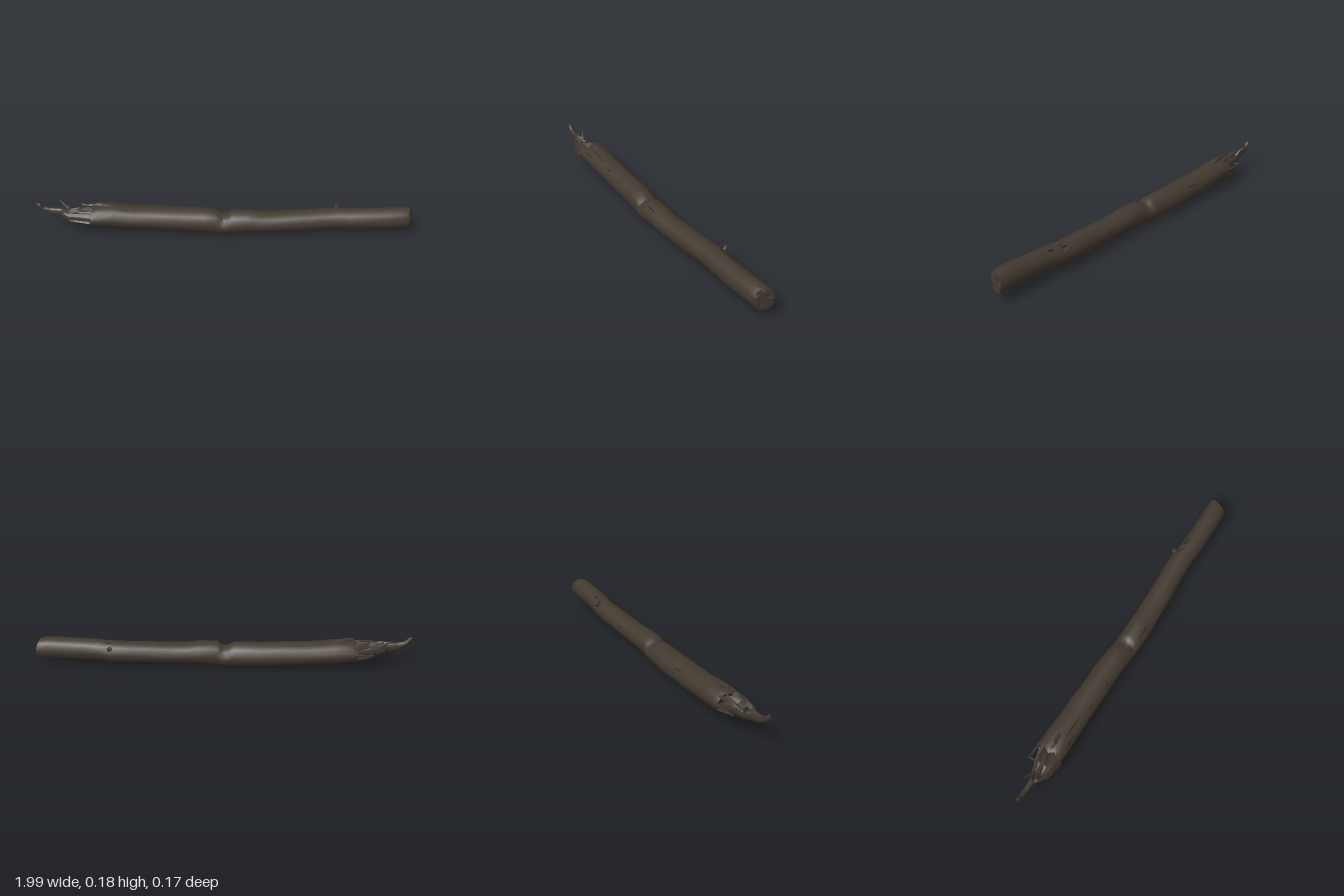
import * as THREE from 'three';

const SIDES = 16;

// Trunk stations: x, bottom y, top y, back z, front z
const TRUNK = [
  [-0.71, 0.05, 0.148, -0.08, 0.063], [-0.68, 0.045, 0.157, -0.086, 0.066], [-0.6, 0.035, 0.16, -0.085, 0.065],
  [-0.5, 0.028, 0.147, -0.08, 0.065], [-0.4, 0.021, 0.144, -0.08, 0.064], [-0.3, 0.014, 0.142, -0.075, 0.065],
  [-0.2, 0.01, 0.138, -0.075, 0.065], [-0.12, 0.007, 0.138, -0.067, 0.068], [-0.06, 0.004, 0.135, -0.06, 0.072],
  [-0.035, 0.002, 0.118, -0.057, 0.073], [-0.015, 0, 0.112, -0.056, 0.074], [0.01, 0.004, 0.118, -0.054, 0.076],
  [0.03, 0.007, 0.136, -0.052, 0.078], [0.13, 0.013, 0.134, -0.05, 0.081], [0.18, 0.015, 0.125, -0.05, 0.079],
  [0.3, 0.016, 0.126, -0.052, 0.074], [0.4, 0.018, 0.131, -0.053, 0.07], [0.5, 0.022, 0.135, -0.057, 0.063],
  [0.6, 0.026, 0.14, -0.058, 0.062], [0.66, 0.028, 0.143, -0.046, 0.067], [0.74, 0.03, 0.147, -0.042, 0.07],
  [0.85, 0.034, 0.151, -0.04, 0.071], [0.93, 0.037, 0.155, -0.04, 0.071], [0.975, 0.041, 0.15, -0.037, 0.066],
];

// Broken heartwood tongue, same columns
const TONGUE = [
  [-1, 0.15, 0.18, -0.008, 0.006], [-0.983, 0.14, 0.174, -0.014, 0.01], [-0.965, 0.122, 0.155, -0.015, 0.01],
  [-0.93, 0.103, 0.147, -0.016, 0.012], [-0.88, 0.088, 0.147, -0.018, 0.016], [-0.86, 0.08, 0.15, -0.031, 0.032],
  [-0.83, 0.071, 0.142, -0.037, 0.046], [-0.78, 0.062, 0.15, -0.045, 0.056], [-0.72, 0.051, 0.148, -0.057, 0.062],
  [-0.62, 0.042, 0.14, -0.06, 0.058],
];

// Point on a station's outline; angle 0 faces front, PI/2 faces up
function outline([x, bottom, top, back, front], a, grow = 1) {
  const cy = Math.min(bottom + 0.062, (bottom + top) / 2);
  const s = Math.sin(a);
  const rough = grow * (1 + 0.018 * Math.sin(5 * a + 9 * x) * Math.sin(2 * a) ** 2);
  return [x, cy + s * (s > 0 ? top - cy : cy - bottom) * rough,
    (front + back) / 2 + Math.cos(a) * (front - back) / 2 * rough];
}

function stationAt(x) {
  const i = Math.max(1, TRUNK.findIndex((s) => s[0] >= x));
  const p = TRUNK[i - 1], q = TRUNK[i], t = (x - p[0]) / (q[0] - p[0]);
  return p.map((v, k) => v + (q[k] - v) * t);
}

function geometry(points, index, flat) {
  let g = new THREE.BufferGeometry();
  g.setAttribute('position', new THREE.Float32BufferAttribute(points.flat(), 3));
  g.setIndex(index);
  if (flat) g = g.toNonIndexed();
  g.computeVertexNormals();
  return g;
}

// Skin through closed rings running towards +x
function loft(rings, flat) {
  const index = [], n = rings[0].length;
  for (let i = 0; i < rings.length - 1; i++) {
    for (let j = 0; j < n; j++) {
      const k = (j + 1) % n, a = i * n, b = a + n;
      index.push(a + j, b + j, b + k, a + j, b + k, a + k);
    }
  }
  return geometry(rings.flat(), index, flat);
}

// Faceted end face with an inner ring; dir is +1 or -1 along x
function cap(ring, dir, bulge) {
  const n = ring.length, index = [];
  const mid = [0, 1, 2].map((k) => ring.reduce((sum, p) => sum + p[k], 0) / n);
  const inner = ring.map((p, j) => {
    const f = 0.72 + 0.1 * Math.sin(j * 2.3);
    return [mid[0] + (p[0] - mid[0]) * 0.6 + dir * bulge * (0.7 + 0.5 * Math.sin(j * 1.7)),
      mid[1] + (p[1] - mid[1]) * f, mid[2] + (p[2] - mid[2]) * f];
  });
  const add = (a, b, c) => (dir > 0 ? index.push(a, c, b) : index.push(a, b, c));
  for (let j = 0; j < n; j++) {
    const k = (j + 1) % n;
    add(n + j, j, k);
    add(n + j, k, n + k);
    add(2 * n, n + j, n + k);
  }
  return geometry([...ring, ...inner, [mid[0] + dir * bulge * 0.5, mid[1], mid[2]]], index, true);
}

// Tapered sliver between two points
function splinter(from, to, r0, r1) {
  const a = new THREE.Vector3(...from), b = new THREE.Vector3(...to), d = b.clone().sub(a);
  const g = new THREE.CylinderGeometry(r1, r0, d.length(), 5).toNonIndexed();
  g.applyQuaternion(new THREE.Quaternion().setFromUnitVectors(new THREE.Vector3(0, 1, 0), d.normalize()));
  const c = a.add(b).multiplyScalar(0.5);
  g.translate(c.x, c.y, c.z);
  g.computeVertexNormals();
  return g;
}

// Thin crack lying on the bark
function crack(x, a, length, width) {
  const pts = [], index = [];
  for (let i = 0; i <= 4; i++) {
    const s = stationAt(x + length * (i / 4 - 0.5));
    const w = width * (0.2 + Math.sin(Math.PI * i / 4));
    pts.push(outline(s, a - w, 1.025), outline(s, a + w, 1.025));
    if (i < 4) index.push(2 * i, 2 * i + 2, 2 * i + 3, 2 * i, 2 * i + 3, 2 * i + 1);
  }
  return geometry(pts, index, true);
}

export function createModel() {
  const group = new THREE.Group();
  const material = (name, color) => Object.assign(new THREE.MeshStandardMaterial({ color }), { name });
  const bark = material('bark', 0x42392f);
  const wood = material('brokenWood', 0x3f3730);
  const dark = material('darkCrack', 0x25221f);
  const add = (name, geo, mat) => {
    const mesh = new THREE.Mesh(geo, mat);
    mesh.name = name;
    group.add(mesh);
  };
  const ringOf = (s) => Array.from({ length: SIDES }, (_, j) => outline(s, j / SIDES * Math.PI * 2));

  // Trunk with a jagged left break and a slanted right cut
  const rings = TRUNK.map(ringOf);
  const first = rings[0], last = rings[rings.length - 1];
  first.forEach((p, j) => { p[0] += 0.013 * Math.sin(j * 2.6) - 0.15 * Math.max(0, p[2]); });
  last.forEach((p) => { p[0] = 0.977 - 0.28 * (p[2] - 0.015) - 0.12 * (p[1] - 0.095); });
  add('trunk', loft(rings), bark);
  add('cutEnd', cap(last, 1, 0.006), wood);
  add('brokenEnd', cap(first, -1, -0.012), dark);

  // Split tongue rising to a point
  const tongue = TONGUE.map(ringOf);
  tongue.forEach((ring, i) => ring.forEach((p, j) => {
    if (i > 4 && j > 2 && j < 7) p[1] -= 0.014 * (1 + Math.sin(j * 2.9 + i * 1.9));
  }));
  add('splitTongue', loft(tongue, true), wood);
  add('tongueTip', cap(tongue[0], -1, 0), wood);

  // Splinters around the break
  [
    [[-0.84, 0.13, -0.02], [-0.87, 0.158, -0.028], 0.011, 0.005],
    [[-0.865, 0.155, -0.027], [-0.885, 0.172, -0.036], 0.006, 0.002],
    [[-0.68, 0.105, -0.079], [-0.79, 0.115, -0.084], 0.009, 0.003],
    [[-0.785, 0.115, -0.084], [-0.78, 0.108, -0.035], 0.004, 0.006],
    [[-0.69, 0.13, -0.05], [-0.765, 0.135, -0.045], 0.014, 0.003],
    [[-0.7, 0.13, 0.03], [-0.8, 0.142, 0.028], 0.013, 0.003],
    [[-0.7, 0.08, -0.065], [-0.8, 0.085, -0.047], 0.014, 0.003],
    [[-0.72, 0.09, 0.056], [-0.83, 0.1, 0.05], 0.014, 0.003],
  ].forEach((s) => add('splinter', splinter(...s), wood));

  // Raised bark flap above the break
  add('barkFlap', splinter([-0.6, 0.148, -0.012], [-0.665, 0.162, -0.008], 0.012, 0.014), bark);
  add('barkFlapTip', splinter([-0.66, 0.163, -0.008], [-0.695, 0.166, -0.005], 0.013, 0.006), bark);

  // Branch stub
  add('branchStub', splinter([0.6, 0.11, -0.035], [0.59, 0.132, -0.062], 0.018, 0.007), bark);

  // Bark cracks: x, angle, length, half width
  [
    [0.6, 2.2, 0.04, 0.1], [0.67, 2.1, 0.04, 0.09], [0.61, 1.9, 0.03, 0.05], [0.1, 0.9, 0.1, 0.05],
    [-0.26, 0.7, 0.02, 0.06], [-0.4, 0.85, 0.06, 0.03], [-0.55, 1.1, 0.14, 0.04], [-0.62, 0.6, 0.08, 0.05],
    [-0.02, 0.9, 0.012, 0.3], [-0.35, 2.5, 0.06, 0.04], [0.3, 2.8, 0.05, 0.04],
  ].forEach((c) => add('barkCrack', crack(...c), dark));

  return group;
}
